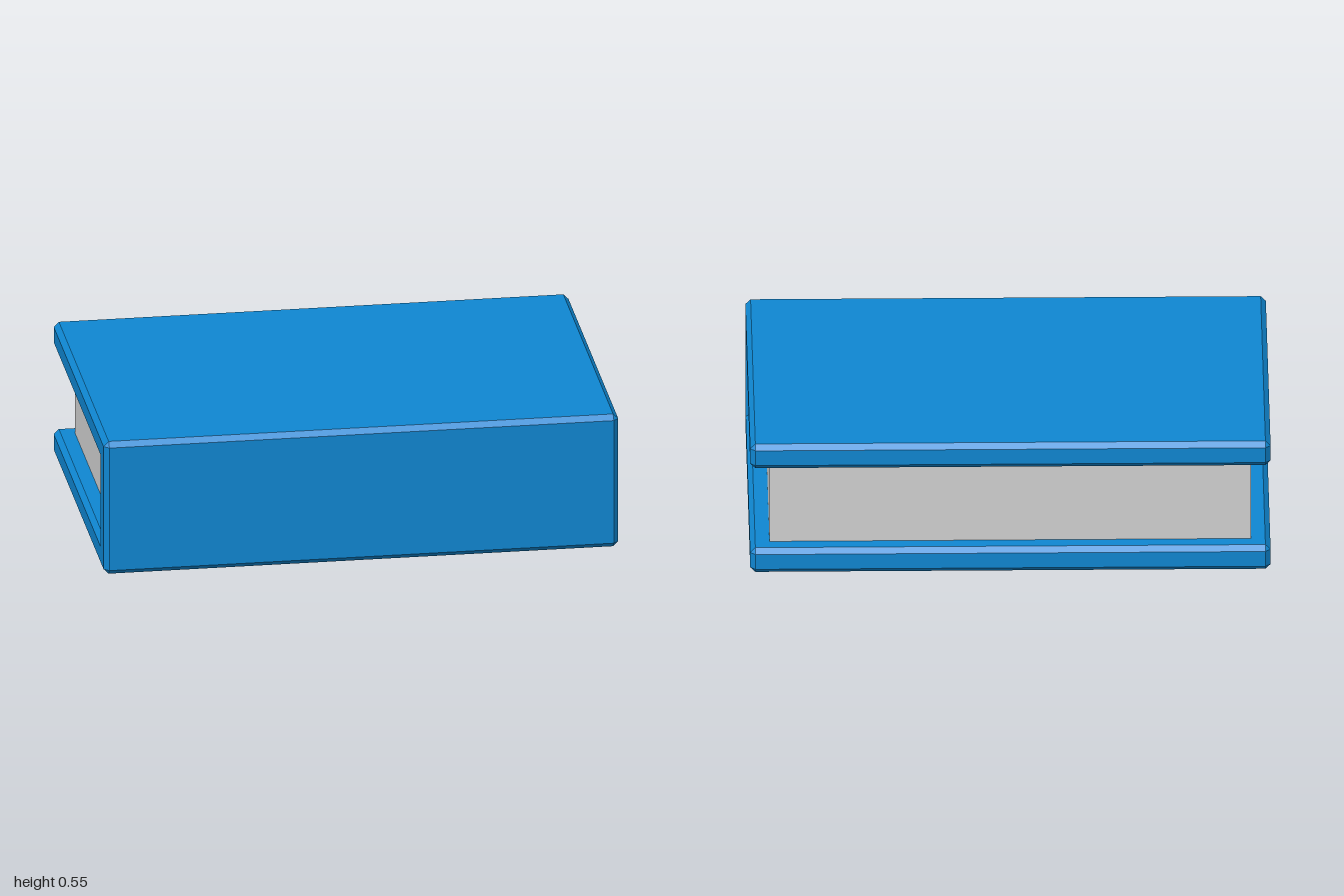
import * as THREE from 'three';

const BEVEL = 0.02;
const HALF = 1; // half length along x

// C-shaped cover with chamfered edges, built from four cross-sections along x
function coverGeometry() {
  // corners as [u, y] with u = -z, counter-clockwise; inner corners stay sharp
  const corners = [
    [-0.662, 0], [0.662, 0], [0.662, 0.103], [-0.545, 0.103],
    [-0.545, 0.442], [0.662, 0.442], [0.662, 0.545], [-0.662, 0.545],
  ].map(([u, y]) => new THREE.Vector2(u, y));

  const full = [], inset = [], capOutline = [];
  corners.forEach((p, i) => {
    const n = corners.length;
    const dIn = p.clone().sub(corners[(i + n - 1) % n]).normalize();
    const dOut = corners[(i + 1) % n].clone().sub(p).normalize();
    const convex = dIn.cross(dOut) > 0;
    // move inward from both adjoining edges
    const q = p.clone().add(new THREE.Vector2(-dIn.y - dOut.y, dIn.x + dOut.x).multiplyScalar(BEVEL));
    capOutline.push(q);
    if (convex) {
      full.push(p.clone().addScaledVector(dIn, -BEVEL), p.clone().addScaledVector(dOut, BEVEL));
      inset.push(q, q);
    } else {
      full.push(p);
      inset.push(q);
    }
  });

  const pos = [];
  const tri = (a, b, c) => pos.push(...a, ...b, ...c);
  const at = (p, w) => [p.x, p.y, w];

  // walls and end chamfers
  const rings = [[inset, -HALF], [full, -HALF + BEVEL], [full, HALF - BEVEL], [inset, HALF]];
  for (let r = 0; r < 3; r++) {
    const [p0, w0] = rings[r], [p1, w1] = rings[r + 1];
    for (let i = 0; i < full.length; i++) {
      const j = (i + 1) % full.length;
      const a = at(p0[i], w0), b = at(p0[j], w0), c = at(p1[j], w1), d = at(p1[i], w1);
      if (p0[i] !== p0[j]) tri(a, b, c);
      if (p1[i] !== p1[j]) tri(a, c, d);
      // corner triangles where one ring shares a point
      else if (p0[i] === p0[j]) tri(a, c, d);
    }
  }

  // flat ends
  for (const [a, b, c] of THREE.ShapeUtils.triangulateShape(capOutline, [])) {
    const [A, B, C] = [a, b, c].map((k) => capOutline[k]);
    tri(at(A, HALF), at(B, HALF), at(C, HALF));
    tri(at(A, -HALF), at(C, -HALF), at(B, -HALF));
  }

  const geo = new THREE.BufferGeometry();
  geo.setAttribute('position', new THREE.Float32BufferAttribute(pos, 3));
  geo.rotateY(Math.PI / 2);
  geo.computeVertexNormals();
  return geo;
}

export function createModel() {
  const blue = new THREE.MeshStandardMaterial({ name: 'cover blue', color: 0x0f87d2 });
  const grey = new THREE.MeshStandardMaterial({ name: 'paper grey', color: 0xd2d2d2 });

  const book = new THREE.Group();
  book.name = 'book';

  const cover = new THREE.Mesh(coverGeometry(), blue);
  cover.name = 'cover';

  // page block fills the gap between the boards
  const pages = new THREE.Mesh(new THREE.BoxGeometry(1.85, 0.339, 1.132), grey);
  pages.name = 'pages';
  pages.position.set(0, 0.2725, -0.021);

  book.add(cover, pages);
  return book;
}
